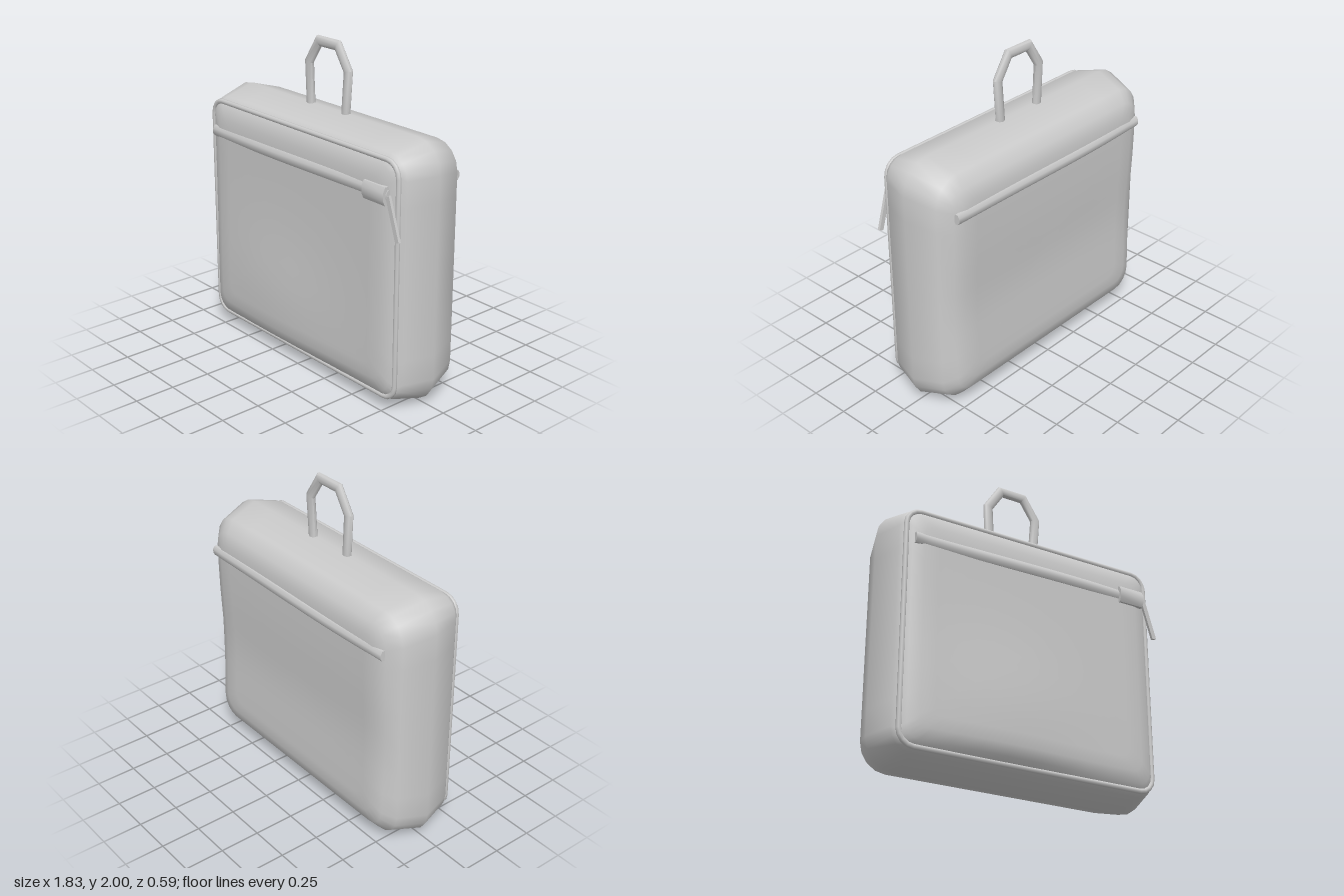
import * as THREE from 'three';
import { toCreasedNormals } from 'three/addons/utils/BufferGeometryUtils.js';

const material = new THREE.MeshStandardMaterial({ color: 0xcccccc });

// Skin a list of equal-length closed rings of points
function loft(rings, loop, crease) {
  const n = rings[0].length, index = [];
  const spans = loop ? rings.length : rings.length - 1;
  for (let i = 0; i < spans; i++) {
    const k = (i + 1) % rings.length;
    for (let j = 0; j < n; j++) {
      const m = (j + 1) % n;
      const a = i * n + j, b = i * n + m, c = k * n + m, d = k * n + j;
      index.push(a, b, c, a, c, d);
    }
  }
  const geometry = new THREE.BufferGeometry().setFromPoints(rings.flat());
  geometry.setIndex(index);
  return toCreasedNormals(geometry, crease);
}

// Rounded rectangle outline, counterclockwise seen from the front
function roundedRect(hx, y0, y1, r, z, steps = 8) {
  const corners = [[hx - r, y1 - r], [r - hx, y1 - r], [r - hx, y0 + r], [hx - r, y0 + r]];
  const points = [];
  corners.forEach(([cx, cy], q) => {
    for (let s = 0; s <= 4; s++) {
      const a = (q + s / 4) * Math.PI / 2;
      points.push(new THREE.Vector3(cx + r * Math.cos(a), cy + r * Math.sin(a), z));
    }
    const [nx, ny] = corners[(q + 1) % 4], a = (q + 1) * Math.PI / 2;
    const from = points[points.length - 1].clone();
    const to = new THREE.Vector3(nx + r * Math.cos(a), ny + r * Math.sin(a), z);
    for (let s = 1; s < steps; s++) points.push(from.clone().lerp(to, s / steps));
  });
  return points;
}

// Elliptical cord swept along a path, mitred at its corners
function cord(points, rw, rz, { loop = false, sides = 8, crease = 0.9 } = {}) {
  const count = points.length;
  const dir = (a, b) => new THREE.Vector2(b.x - a.x, b.y - a.y).normalize();
  const rings = points.map((p, i) => {
    const prev = points[(i + count - 1) % count], next = points[(i + 1) % count];
    const d1 = !loop && i === 0 ? dir(p, next) : dir(prev, p);
    const d2 = !loop && i === count - 1 ? d1 : dir(p, next);
    const t = d1.clone().add(d2).normalize();
    const w = rw / t.dot(d1);
    return Array.from({ length: sides }, (_, j) => {
      const a = (j + 0.5) / sides * Math.PI * 2, c = Math.cos(a) * w;
      return new THREE.Vector3(p.x - t.y * c, p.y + t.x * c, p.z + Math.sin(a) * rz);
    });
  });
  if (!loop) {
    rings.unshift(rings[0].map(() => points[0].clone()));
    rings.push(rings[0].map(() => points[count - 1].clone()));
  }
  return loft(rings, loop, crease);
}

// Soft swelling of the front panel and slight hollow of the back
const bell = (t) => Math.exp(-t * t);
const frontBulge = (x, y) => 0.03 * bell((x + 0.2) / 0.5) * bell((y - 0.38) / 0.4);
const backHollow = (y) => 0.018 * bell((y - 0.68) / 0.3);

function bodyGeometry() {
  // half width, bottom, top, corner radius, z
  const sections = [
    [0.72, 0.2, 1.4, 0.09, -0.273],
    [0.79, 0.125, 1.47, 0.12, -0.25],
    [0.86, 0.06, 1.535, 0.16, -0.19],
    [0.915, 0.005, 1.59, 0.18, 0],
    [0.86, 0.06, 1.535, 0.13, 0.19],
    [0.835, 0.085, 1.515, 0.09, 0.218],
    [0.795, 0.125, 1.475, 0.08, 0.243],
    [0.73, 0.19, 1.41, 0.07, 0.262],
  ];
  const rings = sections.map((s) => roundedRect(...s));
  const shrink = (ring, t) => ring.map((p) => new THREE.Vector3(p.x * t, 0.8 + (p.y - 0.8) * t, p.z));
  const back = rings[0], front = rings[rings.length - 1];
  for (let k = 7; k >= 0; k--) {
    rings.unshift(shrink(back, k / 8));
    rings.push(shrink(front, k / 8));
  }
  for (const p of rings.flat()) {
    if (p.z > 0.23) p.z += frontBulge(p.x, p.y);
    if (p.z < -0.22) p.z += backHollow(p.y);
  }
  return loft(rings, false, 1.2);
}

export function createModel() {
  const group = new THREE.Group();
  const add = (name, geometry) => {
    const mesh = new THREE.Mesh(geometry, material);
    mesh.name = name;
    group.add(mesh);
  };
  const v = (x, y, z) => new THREE.Vector3(x, y, z);

  add('body', bodyGeometry());

  // Piping around the front panel
  add('piping', cord(roundedRect(0.828, 0.09, 1.508, 0.09, 0.223, 4), 0.016, 0.015, { loop: true }));

  // Zips, gently waving across both faces
  const zip = (y, zAt) => Array.from({ length: 17 }, (_, i) => {
    const x = -0.785 + i / 16 * 1.57;
    return v(x, y + 0.003 * Math.sin(x * 4), zAt(x));
  });
  add('frontZip', cord(zip(1.32, (x) => 0.253 + 0.004 * Math.cos(x * 4)), 0.037, 0.024));
  add('backZip', cord(zip(1.32, (x) => -0.274 + 0.014 * (x / 0.785) ** 2 * (x < 0 ? 1 : 0.5)), 0.033, 0.022));

  // Zip slider and its hanging pull
  add('zipSlider', cord([v(0.61, 1.32, 0.264), v(0.78, 1.32, 0.264)], 0.057, 0.029, { crease: 0.6 }));
  add('zipPull', cord([v(0.79, 1.325, 0.262), v(0.868, 1.078, 0.258)], 0.02, 0.012, { sides: 4, crease: 0.3 }));

  // Hanging loop on top
  add('handleLoop', cord([
    v(-0.158, 1.57, 0), v(-0.171, 1.835, 0), v(-0.082, 1.971, 0),
    v(0.082, 1.971, 0), v(0.171, 1.835, 0), v(0.15, 1.57, 0),
  ], 0.031, 0.022, { sides: 12, crease: 0.7 }));

  return group;
}
